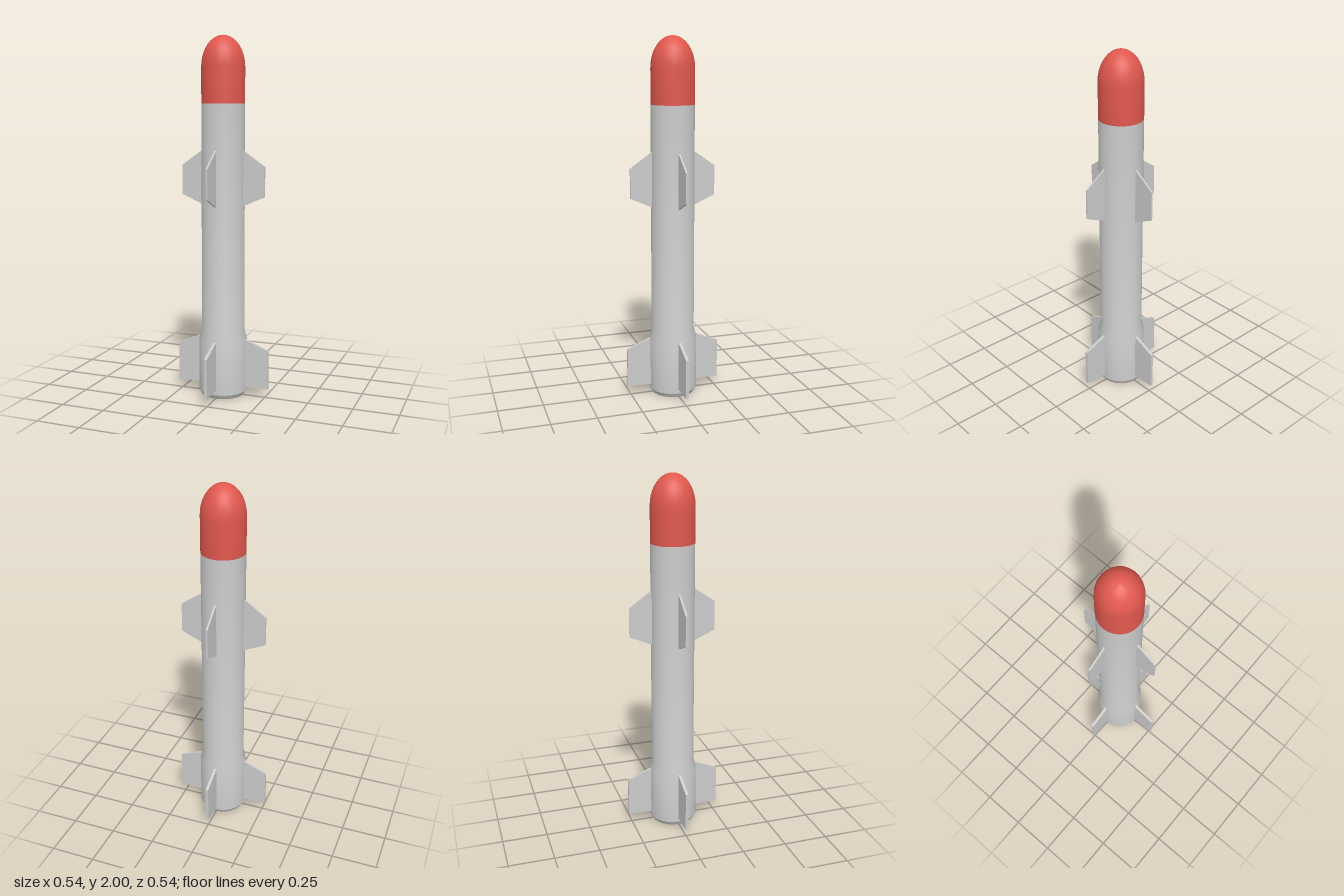
import * as THREE from 'three';
import { toCreasedNormals } from 'three/addons/utils/BufferGeometryUtils.js';

const SIDES = 24;
const grey = new THREE.MeshStandardMaterial({ color: 0xcccccc });
const red = new THREE.MeshStandardMaterial({ color: 0xe0584e });
const black = new THREE.MeshStandardMaterial({ color: 0x222222 });

// Turned part from [radius, height] pairs, listed so the surface faces outward
function turned(name, profile, material, crease = 0.5) {
  const points = profile.map(([r, y]) => new THREE.Vector2(r, y));
  const geometry = toCreasedNormals(new THREE.LatheGeometry(points, SIDES), crease);
  const mesh = new THREE.Mesh(geometry, material);
  mesh.name = name;
  return mesh;
}

// Four flat fins around the body, from one [radius, height] outline
function finSet(name, outline, thickness) {
  const shape = new THREE.Shape(outline.map(([x, y]) => new THREE.Vector2(x, y)));
  const geometry = new THREE.ExtrudeGeometry(shape, { depth: thickness, bevelEnabled: false });
  geometry.translate(0, 0, -thickness / 2);
  const set = new THREE.Group();
  set.name = name + 's';
  for (let i = 0; i < 4; i++) {
    const fin = new THREE.Mesh(geometry, grey);
    fin.name = name;
    fin.rotation.y = i * Math.PI / 2;
    set.add(fin);
  }
  return set;
}

export function createModel() {
  const model = new THREE.Group();
  model.name = 'missile';

  // Body tube with a wider tail section
  model.add(turned('body', [
    [0.12, 0], [0.135, 0.025], [0.135, 0.32], [0.12, 0.375], [0.12, 1.635],
  ], grey));

  // Rounded nose: short straight sleeve, then a half ellipse
  const nose = [[0.12, 1.635]];
  for (let i = 0; i <= 10; i++) {
    const a = i / 10 * Math.PI / 2;
    nose.push([i === 10 ? 0 : 0.12 * Math.cos(a), 1.83 + 0.17 * Math.sin(a)]);
  }
  model.add(turned('nose', nose, red, 0.8));

  // Exhaust: flat rim around a dark recess
  model.add(turned('exhaustRim', [[0.1, 0.04], [0.104, 0], [0.12, 0]], grey));
  model.add(turned('exhaustRecess', [[0, 0.04], [0.1, 0.04]], black));

  // Fins
  model.add(finSet('middleFin', [[0.11, 1.073], [0.242, 1.13], [0.242, 1.295], [0.11, 1.388]], 0.01));
  model.add(finSet('tailFin', [[0.12, 0.05], [0.268, 0.05], [0.268, 0.27], [0.12, 0.331]], 0.016));

  return model;
}
